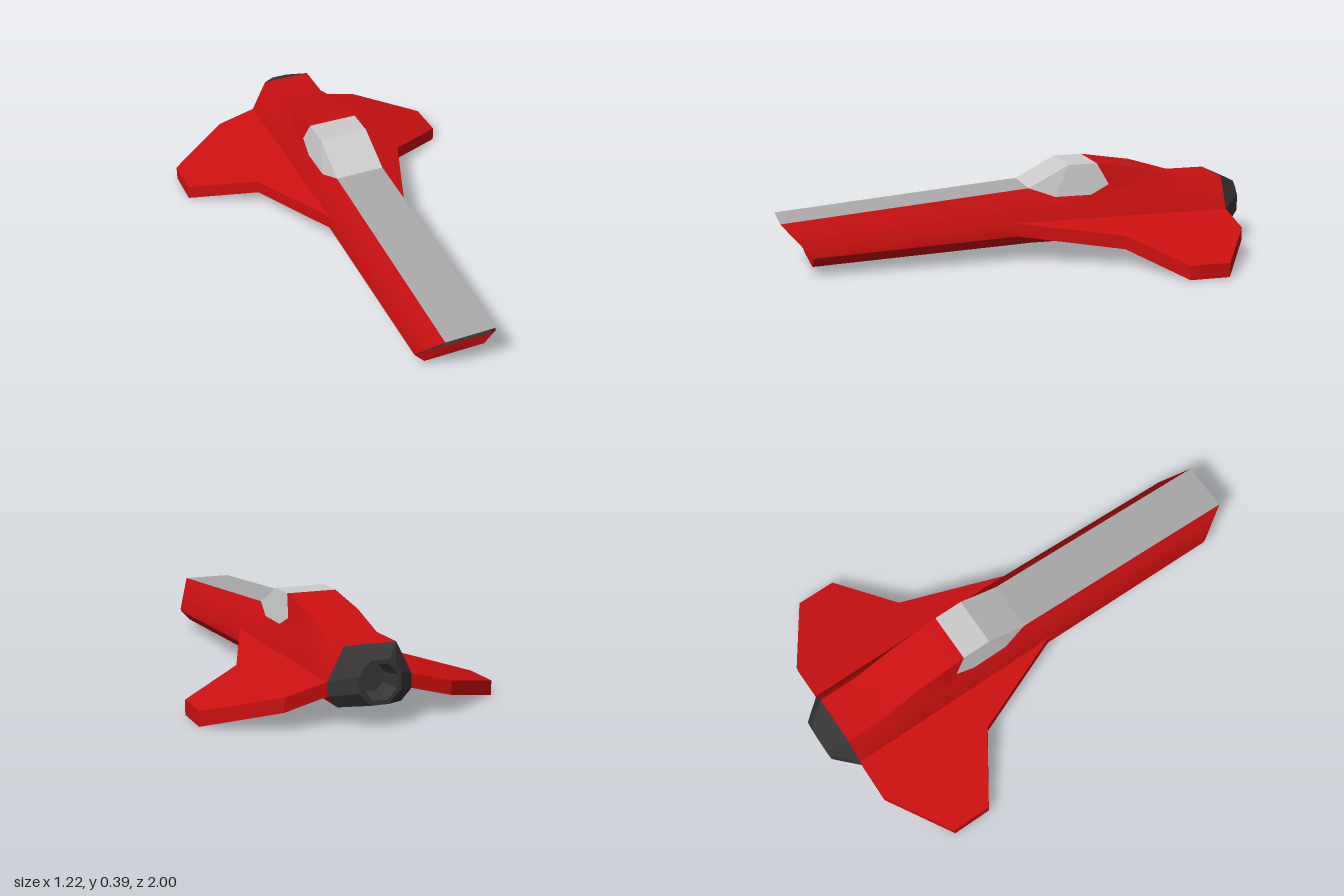
import * as THREE from 'three';
import { toCreasedNormals } from 'three/addons/utils/BufferGeometryUtils.js';

// Collects polygons for the left half and mirrors each one across x = 0.
class Surface {
  constructor() { this.v = []; }
  poly(...p) {
    for (let i = 1; i < p.length - 1; i++) {
      this.v.push(...p[0], ...p[i], ...p[i + 1]);
      for (const [x, y, z] of [p[0], p[i + 1], p[i]]) this.v.push(-x, y, z);
    }
    return this;
  }
  // Skin between two half rings, a in front of b, for segments from..to-1.
  strip(a, b, from = 0, to = a.length - 1) {
    for (let i = from; i < to; i++) this.poly(a[i], a[i + 1], b[i + 1], b[i]);
    return this;
  }
  mesh(name, color, crease = 0.01) {
    const g = new THREE.BufferGeometry();
    g.setAttribute('position', new THREE.Float32BufferAttribute(this.v, 3));
    const m = new THREE.Mesh(toCreasedNormals(g, crease),
      new THREE.MeshStandardMaterial({ color, side: THREE.DoubleSide }));
    m.name = name;
    return m;
  }
}

const RED = 0xcc1010, DARK = 0x363636, DECK = 0xaaaaaa, GLASS = 0xcccccc;
const mid = ([, y, z]) => [0, y, z];
const ring = (...p) => [mid(p[0]), ...p, mid(p[p.length - 1])];

// Half section: top edge, shoulder, upper side, lower side, bottom edge.
const section = (z, topY, shoulderZ = z) => ring(
  [0.105, topY, z], [0.126, 0.26, shoulderZ], [0.172, 0.17, z], [0.172, 0.115, z], [0.13, 0.07, z]);

export function createModel() {
  const group = new THREE.Group();
  const nose = ring([0.105, 0.215, 1], [0.126, 0.176, 0.964],
    [0.172, 0.09, 0.888], [0.172, 0.08, 0.88], [0.13, 0.035, 0.88]);
  const A = section(-0.04, 0.30);
  const B = section(-0.215, 0.39, -0.15);
  const C = section(-0.34, 0.39, -0.31);
  const D = section(-0.56, 0.355);
  const E = section(-0.74, 0.30);
  const F = section(-0.91, 0.30);
  const canopyTail = [0.12, 0.30, -0.39];

  // Hull sides, belly and rear spine, leaving room for deck and canopy
  const hull = new Surface();
  hull.strip(nose, A, 1).strip(A, B, 2).strip(B, C, 2).strip(C, D, 2);
  hull.poly(A[1], A[2], B[2]);
  hull.poly(C[1], canopyTail, D[1]).poly(canopyTail, C[2], D[2], D[1]);
  hull.strip(C, D, 0, 1).strip(D, E).strip(E, F);
  group.add(hull.mesh('hull', RED, 0.55));

  // Nose rim and the sloping intake behind it
  const t = [0.098, 0.206, 0.992], u = [0.157, 0.09, 0.888];
  const t2 = [0.085, 0.19, 0.72], u2 = [0.13, 0.1, 0.72];
  const rim = new Surface();
  rim.poly(mid(u), nose[6], nose[5], nose[4], nose[3], u);
  rim.poly(u, nose[3], nose[1], t).poly(t, nose[1], nose[0], mid(t));
  group.add(rim.mesh('noseRim', RED));
  const intake = new Surface();
  intake.strip(ring(t, u), ring(t2, u2)).poly(mid(t2), mid(u2), u2, t2);
  group.add(intake.mesh('noseIntake', DARK));

  // Flat deck in front of the canopy
  group.add(new Surface().strip(nose, A, 0, 1).mesh('foreDeck', DECK));

  // Canopy: windscreen, roof and side panes
  const canopy = new Surface();
  canopy.strip(A, B, 0, 1).strip(B, C, 0, 2);
  canopy.poly(A[1], B[2], B[1]).poly(C[1], C[2], canopyTail);
  group.add(canopy.mesh('canopy', GLASS));

  // Drooping wings
  const plan = [[0.34, -0.39], [0.61, -0.57], [0.61, -0.74], [0.34, -0.91], [0.168, -0.91], [0.168, 0.05]];
  const drop = (x) => (0.61 - x) / 0.438;
  const top = plan.map(([x, z]) => [x, 0.06 + 0.11 * drop(x), z]);
  const low = plan.map(([x, z]) => [x, 0.115 * drop(x), z]);
  const wings = new Surface().poly(...top);
  wings.poly(low[0], ...low.slice(1).reverse());
  plan.forEach((_, i) => {
    const j = (i + 1) % plan.length;
    wings.poly(low[i], low[j], top[j], top[i]);
  });
  group.add(wings.mesh('wings', RED));

  // Engine nozzle: tapered shroud, lip and hollow bore
  const nozzleRing = (s, z) => ring(...[[0.036, 0.085], [0.064, 0.06], [0.085, 0.03], [0.085, -0.036], [0.036, -0.085]]
    .map(([x, y]) => [x * s, 0.175 + y * s, z]));
  const lip = nozzleRing(1, -1), bore = nozzleRing(0.8, -1), end = nozzleRing(0.6, -0.92);
  const nozzle = new Surface().strip(F, lip).strip(lip, bore).strip(bore, end);
  nozzle.poly(...end);
  group.add(nozzle.mesh('engineNozzle', DARK));

  return group;
}
